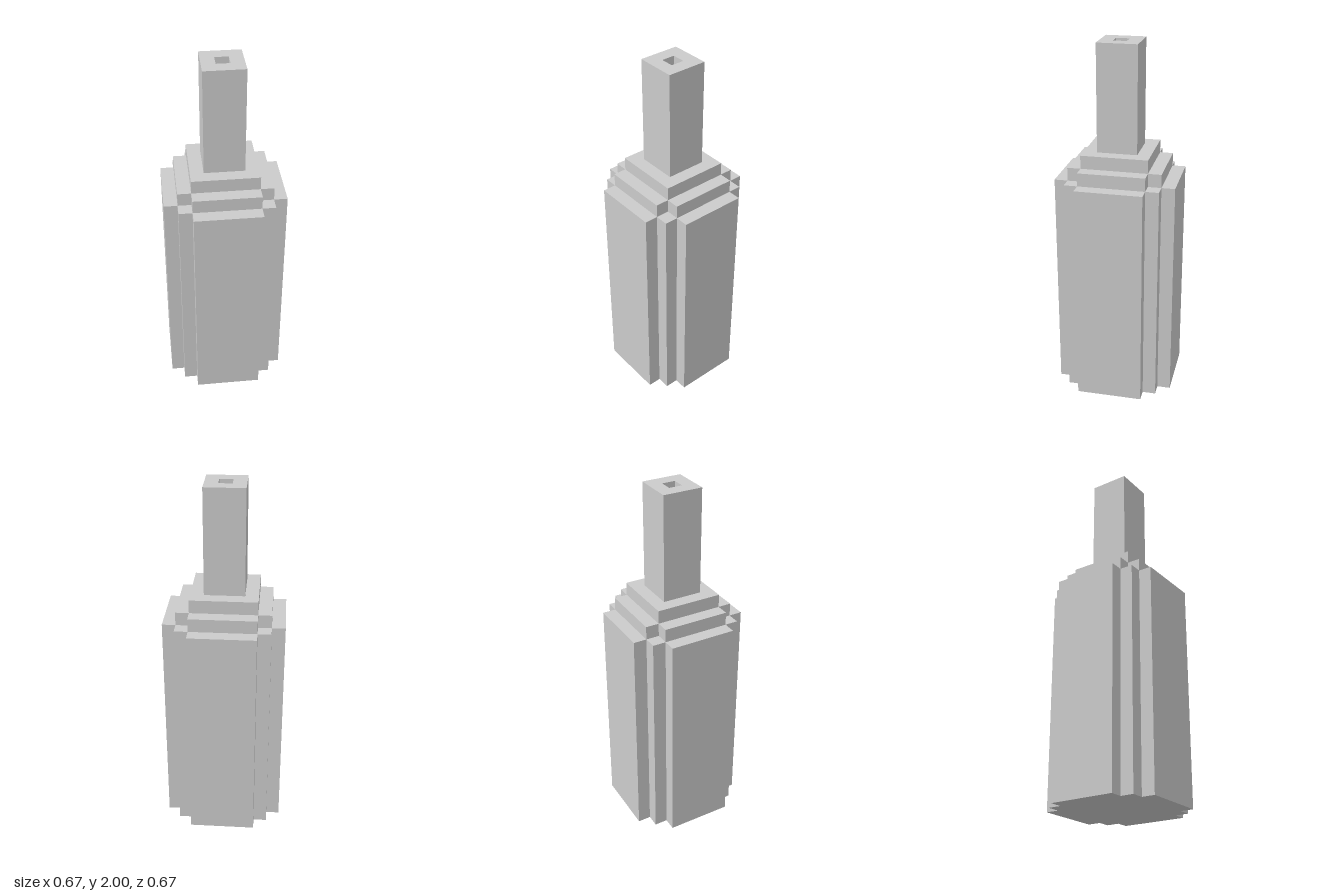
import * as THREE from 'three';

const U = 2 / 27; // one block of the grid the bottle is built on

// Closed outline from the corners of one quadrant, turned four times about the centre
function outline(corners, Kind = THREE.Shape) {
  const points = [];
  for (let q = 0; q < 4; q++) {
    const c = Math.round(Math.cos(q * Math.PI / 2));
    const s = Math.round(Math.sin(q * Math.PI / 2));
    for (const [x, y] of corners) {
      points.push(new THREE.Vector2((x * c - y * s) * U, (x * s + y * c) * U));
    }
  }
  return new Kind(points);
}

export function createModel() {
  const model = new THREE.Group();
  model.name = 'blockBottle';
  const material = new THREE.MeshStandardMaterial({ color: 0xcccccc, flatShading: true });

  // Upright prism between two heights, given in blocks
  function addTier(name, shape, bottom, top) {
    const geometry = new THREE.ExtrudeGeometry(shape, { depth: (top - bottom) * U, bevelEnabled: false });
    geometry.rotateX(-Math.PI / 2);
    const mesh = new THREE.Mesh(geometry, material);
    mesh.name = name;
    mesh.position.y = bottom * U;
    model.add(mesh);
  }

  // Body with two-step corners
  addTier('body', outline([[4.5, 2.5], [3.5, 2.5], [3.5, 3.5], [2.5, 3.5], [2.5, 4.5]]), 0, 17);

  // Shoulders stepping in towards the neck
  addTier('lowerShoulder', outline([[3.5, 2.5], [2.5, 2.5], [2.5, 3.5]]), 17, 18);
  addTier('upperShoulder', outline([[2.5, 2.5]]), 18, 19);

  // Square neck with an open bore
  const neck = outline([[1.5, 1.5]]);
  neck.holes.push(outline([[0.5, 0.5]], THREE.Path));
  addTier('neck', neck, 19, 27);

  return model;
}
